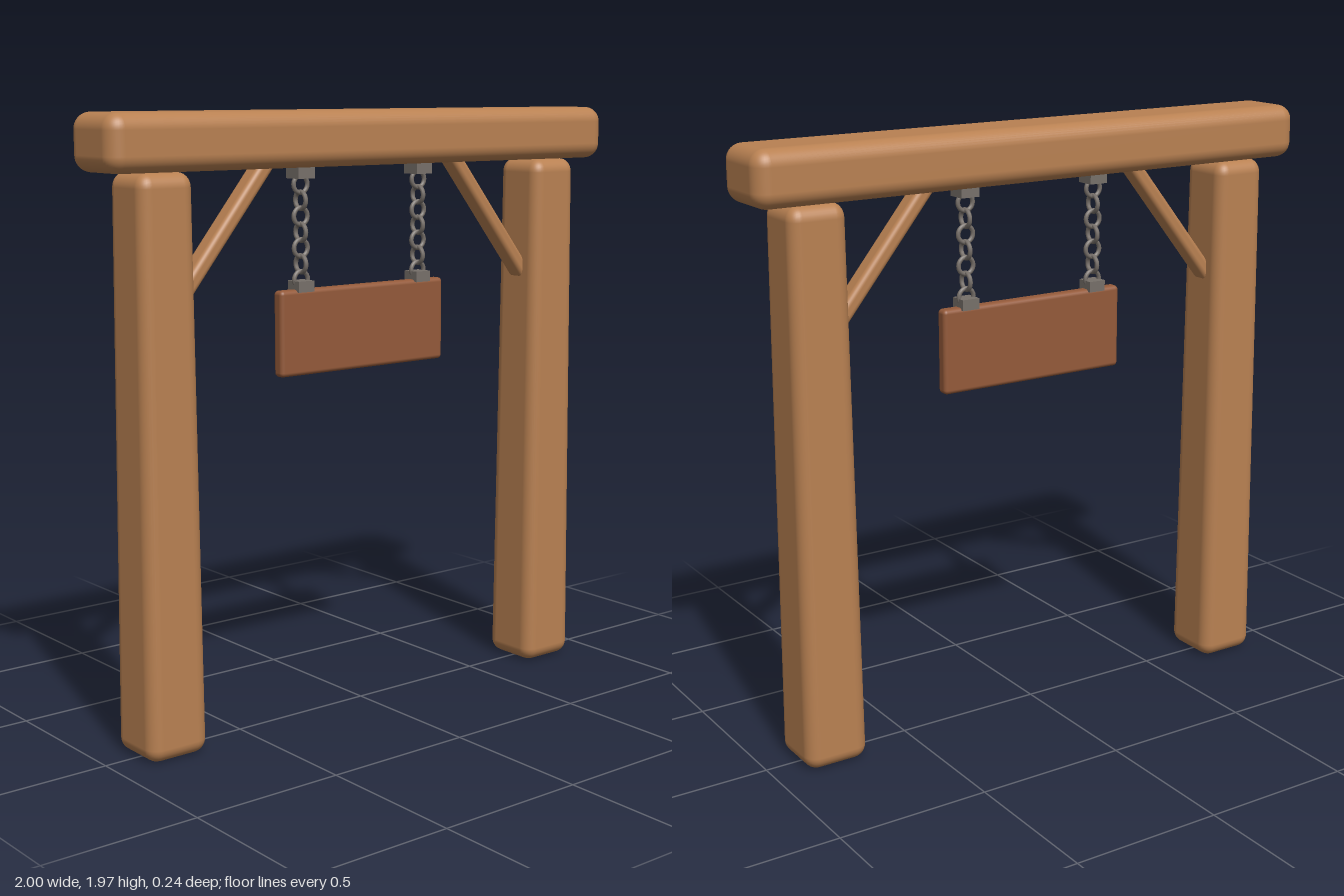
import * as THREE from 'three';
import { RoundedBoxGeometry } from 'three/addons/geometries/RoundedBoxGeometry.js';

const wood = new THREE.MeshStandardMaterial({ color: 0xb98152 });
const darkWood = new THREE.MeshStandardMaterial({ color: 0x945a3a });
const metal = new THREE.MeshStandardMaterial({ color: 0x77706a });

function part(parent, name, geometry, material, x, y, z = 0) {
  const mesh = new THREE.Mesh(geometry, material);
  mesh.name = name;
  mesh.position.set(x, y, z);
  parent.add(mesh);
  return mesh;
}

// Rounded post, slightly narrower at the top
function postGeometry(height, bottom, top) {
  const g = new RoundedBoxGeometry(bottom, height, bottom, 4, 0.045);
  const p = g.attributes.position;
  for (let i = 0; i < p.count; i++) {
    const s = THREE.MathUtils.lerp(1, top / bottom, p.getY(i) / height + 0.5);
    p.setX(i, p.getX(i) * s);
    p.setZ(i, p.getZ(i) * s);
  }
  return g;
}

export function createModel() {
  const group = new THREE.Group();
  group.name = 'hangingSignFrame';

  // Top beam
  part(group, 'beam', new RoundedBoxGeometry(2, 0.175, 0.24, 5, 0.05), wood, 0, 1.878);

  const postGeo = postGeometry(1.79, 0.214, 0.188);
  const linkGeo = new THREE.TorusGeometry(0.027, 0.0075, 8, 20);
  const topPlateGeo = new THREE.BoxGeometry(0.065, 0.045, 0.065);
  const bottomPlateGeo = new THREE.BoxGeometry(0.06, 0.035, 0.06);

  // Diagonal brace from post to beam, sunk a little into both
  const low = new THREE.Vector2(0.69, 1.43);
  const high = new THREE.Vector2(0.397, 1.79);
  const run = high.clone().sub(low);
  const braceGeo = new RoundedBoxGeometry(0.05, run.length() + 0.1, 0.07, 4, 0.018);

  for (const side of [1, -1]) {
    const label = side > 0 ? 'left' : 'right';
    part(group, label + 'Post', postGeo, wood, side * 0.792, 0.895);

    const brace = part(group, label + 'Brace', braceGeo, wood,
      side * (low.x + high.x) / 2, (low.y + high.y) / 2);
    brace.rotation.z = side * Math.atan2(-run.x, run.y);

    // Chain of interlocked rings, alternately turned a quarter
    const chain = new THREE.Group();
    chain.name = label + 'Chain';
    chain.position.x = side * 0.243;
    group.add(chain);
    part(chain, 'topPlate', topPlateGeo, metal, 0, 1.776);
    for (let i = 0; i < 7; i++) {
      const link = part(chain, 'link', linkGeo, metal, 0, 1.735 - i * 0.05);
      link.rotation.y = i % 2 ? Math.PI / 2 : 0;
    }
    part(chain, 'bottomPlate', bottomPlateGeo, metal, 0, 1.415);
  }

  // Hanging board
  part(group, 'signBoard', new RoundedBoxGeometry(0.675, 0.275, 0.045, 3, 0.014), darkWood, 0, 1.268);

  return group;
}
